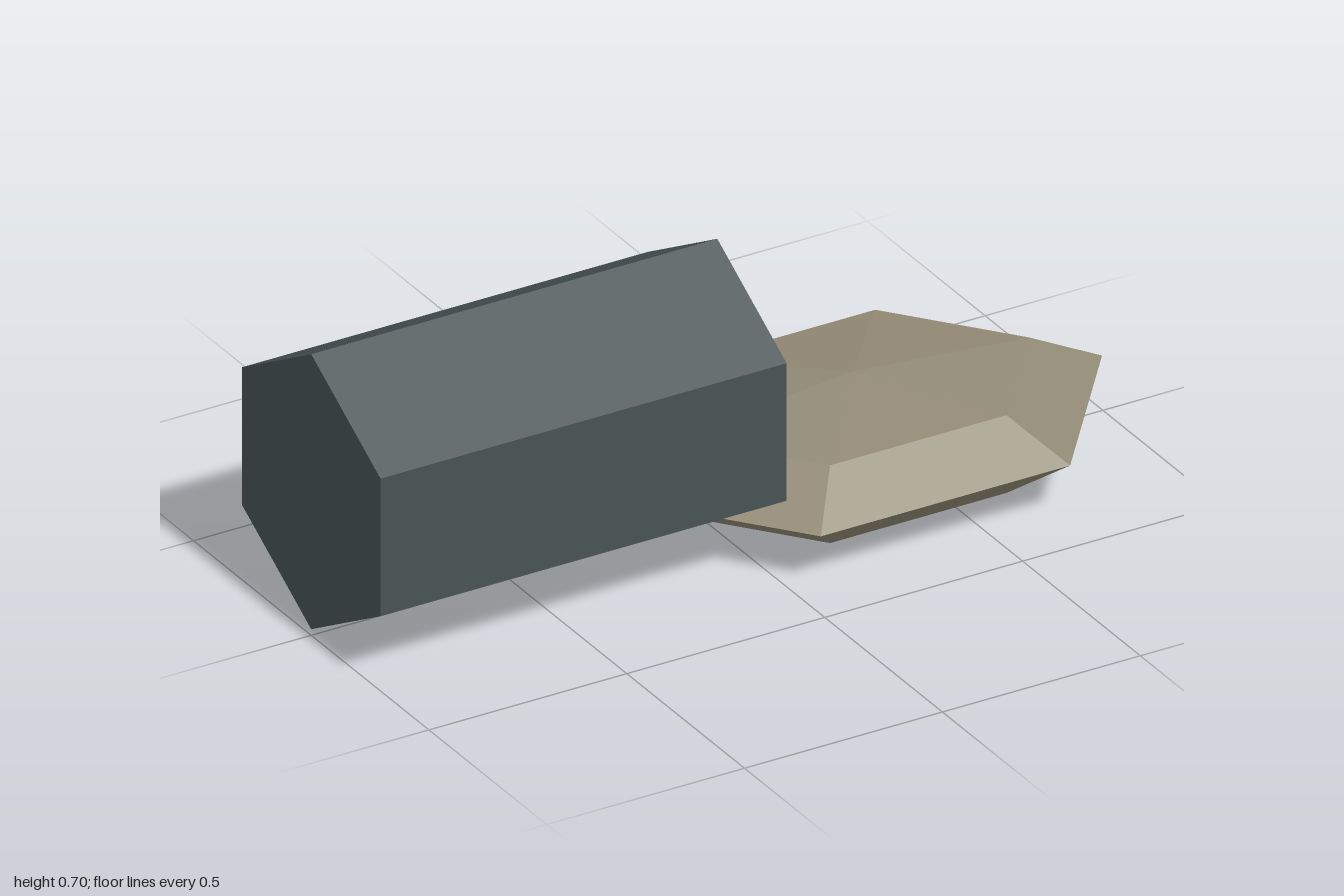
import * as THREE from 'three';

export function createModel() {
  const model = new THREE.Group();

  const slate = new THREE.MeshStandardMaterial({ color: 0x485354, flatShading: true });
  slate.name = 'slate grey';
  const stone = new THREE.MeshStandardMaterial({ color: 0x928a75, flatShading: true });
  stone.name = 'sandy stone';

  // Six-sided bar lying along x, with an edge pointing up
  const barGeometry = new THREE.CylinderGeometry(0.34, 0.34, 1.026, 6, 1, false, Math.PI / 2);
  barGeometry.rotateZ(Math.PI / 2);
  const bar = new THREE.Mesh(barGeometry, slate);
  bar.name = 'hexagonalBar';
  bar.position.set(-0.487, 0.357, 0);
  model.add(bar);

  // Flattened faceted pebble, its inner tip buried in the bar
  const pebbleGeometry = new THREE.SphereGeometry(1, 6, 4);
  pebbleGeometry.scale(0.63, 0.136, 0.455);
  const pebble = new THREE.Mesh(pebbleGeometry, stone);
  pebble.name = 'facetedPebble';
  pebble.position.set(0.368, 0.138, 0);
  model.add(pebble);

  return model;
}
